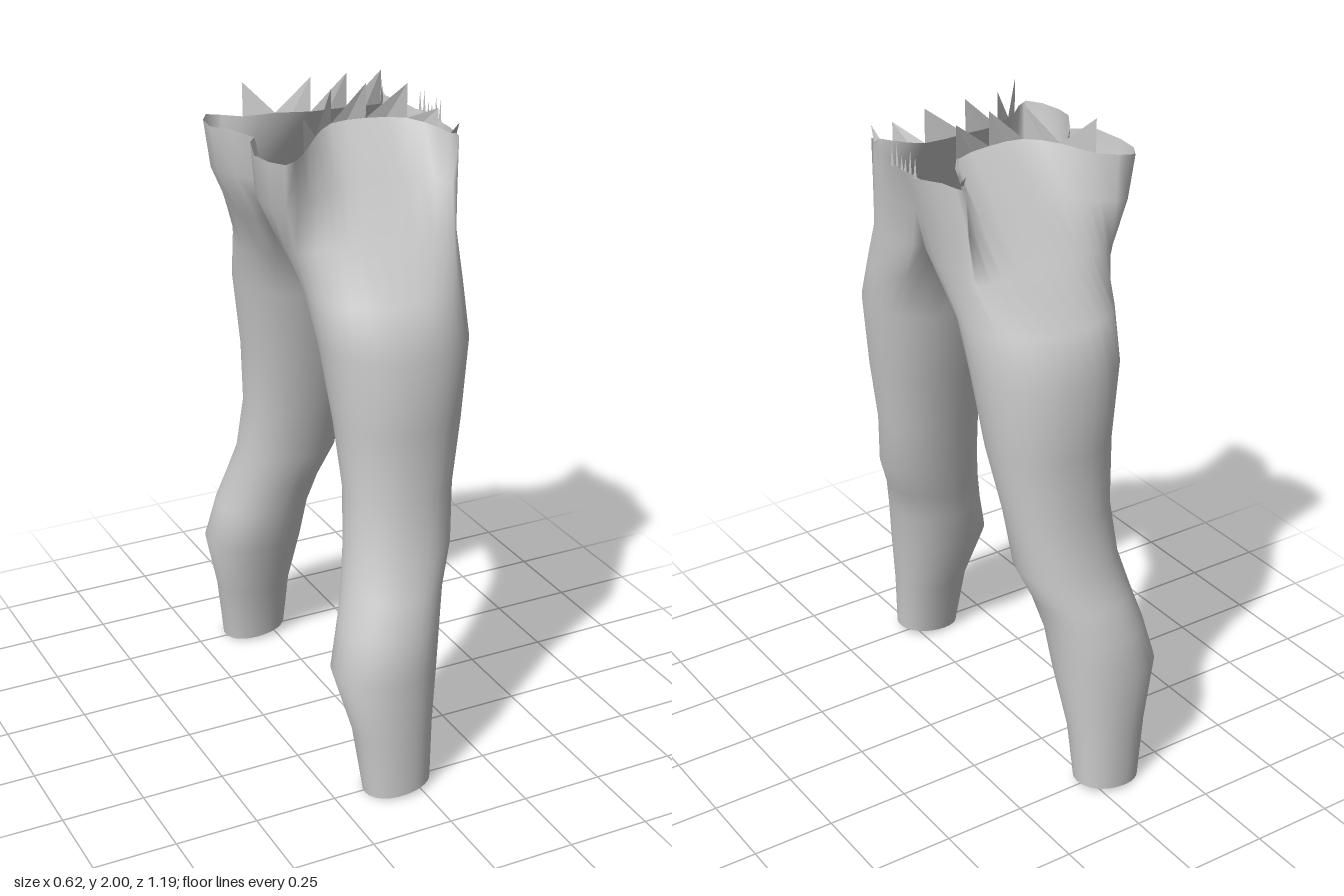
import * as THREE from 'three';

const SIDES = 32;

// Leg sections: height, back x, front x, inner z, outer z
const LEG = [
  [0.01, -0.155, 0.05, 0.43, 0.59],
  [0.2, -0.18, 0.06, 0.395, 0.592],
  [0.39, -0.228, 0.085, 0.325, 0.594],
  [0.52, -0.195, 0.1, 0.3, 0.58],
  [0.62, -0.17, 0.125, 0.275, 0.545],
  [0.73, -0.148, 0.17, 0.245, 0.505],
  [0.9, -0.135, 0.188, 0.215, 0.477],
  [1.1, -0.15, 0.225, 0.165, 0.472],
  [1.33, -0.18, 0.252, 0.105, 0.482],
  [1.47, -0.2, 0.26, 0.06, 0.425],
];

// Half hip outline: centre front, round the outside, centre back, then under the crotch
const HIP = [
  [0.245, 1.63, 0], [0.255, 1.6, 0.09], [0.26, 1.6, 0.18], [0.255, 1.61, 0.25],
  [0.235, 1.6, 0.275], [0.17, 1.61, 0.285], [0.05, 1.61, 0.285], [-0.06, 1.61, 0.285],
  [-0.13, 1.61, 0.275], [-0.19, 1.61, 0.26], [-0.235, 1.6, 0.235], [-0.235, 1.6, 0.13],
  [-0.2, 1.62, 0], [-0.12, 1.57, 0], [0.02, 1.555, 0], [0.16, 1.565, 0],
];

// Half waist rim, in the same order, pinched in at the side
const RIM = [
  [0.305, 1.86, 0], [0.3, 1.86, 0.08], [0.28, 1.87, 0.16], [0.26, 1.87, 0.245],
  [0.235, 1.88, 0.17], [0.185, 1.89, 0.08], [0.065, 1.9, 0.06], [-0.045, 1.9, 0.065],
  [-0.125, 1.89, 0.13], [-0.195, 1.87, 0.2], [-0.28, 1.87, 0.268], [-0.318, 1.87, 0.15],
  [-0.25, 1.87, 0], [-0.14, 1.575, 0], [0.02, 1.56, 0], [0.18, 1.575, 0],
];

// Between the two, the back bulges early and the side leans in evenly
const MID = HIP.map((h, i) => {
  const mix = (k, t) => h[k] + (RIM[i][k] - h[k]) * t;
  return [mix(0, h[0] < 0 ? 0.8 : 0.4), mix(1, 0.5), mix(2, h[2] > 0.23 ? 0.48 : 0.5)];
});

function legRing([y, x0, x1, z0, z1]) {
  const soft = (v) => Math.sign(v) * Math.abs(v) ** 0.94;
  return Array.from({ length: SIDES }, (_, i) => {
    const a = (i / SIDES) * Math.PI * 2 - Math.PI / 4;
    return new THREE.Vector3(
      (x0 + x1) / 2 + ((x1 - x0) / 2) * soft(Math.cos(a)), y,
      (z0 + z1) / 2 + ((z1 - z0) / 2) * soft(Math.sin(a)));
  });
}

function outlineRing(points) {
  const curve = new THREE.CatmullRomCurve3(points.map((p) => new THREE.Vector3(...p)), true, 'centripetal');
  return Array.from({ length: SIDES }, (_, i) => {
    const p = curve.getPoint(i / SIDES);
    p.z = i === 0 || i >= 24 ? 0 : Math.max(p.z, 0); // centre seam stays on the mirror plane
    return p;
  });
}

// Skin the rings; side = -1 mirrors across z
function loft(rings, side) {
  const pos = [], index = [];
  rings.forEach((ring) => ring.forEach((p) => pos.push(p.x, p.y, p.z * side)));
  for (let j = 0; j < rings.length - 1; j++) {
    for (let i = 0; i < SIDES; i++) {
      const a = j * SIDES + i, b = j * SIDES + ((i + 1) % SIDES);
      const c = a + SIDES, d = b + SIDES;
      if (side > 0) index.push(a, c, b, b, c, d);
      else index.push(a, b, c, b, d, c);
    }
  }
  const geo = new THREE.BufferGeometry();
  geo.setAttribute('position', new THREE.Float32BufferAttribute(pos, 3));
  geo.setIndex(index);
  geo.computeVertexNormals();
  // Flatten seam normals so the two halves shade as one
  const n = geo.attributes.normal, v = new THREE.Vector3();
  for (let k = 0; k < n.count; k++) {
    if (pos[k * 3 + 2] !== 0) continue;
    v.fromBufferAttribute(n, k).setZ(0).normalize();
    n.setXYZ(k, v.x, v.y, v.z);
  }
  return geo;
}

// Torn teeth standing on the rim: base start, base end, peak point
function teeth(rim, side) {
  const pos = [];
  const add = (a, b, c) => {
    for (const p of side > 0 ? [a, b, c] : [a, c, b]) pos.push(p.x, p.y, p.z * side);
  };
  // Large teeth along the side
  const large = [[18, 16, 18, 1.97], [16, 14, 14, 2], [14, 12, 12, 2], [12, 10, 10, 1.99], [10, 8, 8, 1.935]];
  for (const [i0, i1, top, y] of large) {
    const peak = rim[top].clone().setY(y), mid = rim[(i0 + i1) / 2];
    add(rim[i0], peak, mid);
    add(mid, peak, rim[i1]);
  }
  // Small teeth at the centre front
  for (const [z, y] of [[0.005, 1.9], [0.03, 1.93], [0.055, 1.92]]) {
    const at = (dz, h) => new THREE.Vector3(0.303, h, z + dz);
    add(at(0.012, 1.855), at(0.006, y), at(-0.005, 1.855));
  }
  // Small tooth at the front corner
  add(rim[7], rim[6].clone().setY(1.91), rim[5]);
  const geo = new THREE.BufferGeometry();
  geo.setAttribute('position', new THREE.Float32BufferAttribute(pos, 3));
  geo.computeVertexNormals();
  return geo;
}

export function createModel() {
  const group = new THREE.Group();
  group.name = 'trousers';
  const cloth = new THREE.MeshStandardMaterial({ color: 0xcccccc, side: THREE.DoubleSide });
  const rim = outlineRing(RIM);
  const rings = [...LEG.map(legRing), outlineRing(HIP), outlineRing(MID), rim];
  // Cuff hem dips slightly towards the back
  rings[0].forEach((p) => { p.y = 0.012 + (p.x + 0.05) * 0.11; });

  for (const [label, side] of [['front', 1], ['back', -1]]) {
    const leg = new THREE.Mesh(loft(rings, side), cloth);
    leg.name = `${label}TrouserLeg`;
    const edge = new THREE.Mesh(teeth(rim, side), cloth);
    edge.name = `${label}TornWaistEdge`;
    group.add(leg, edge);
  }
  return group;
}
